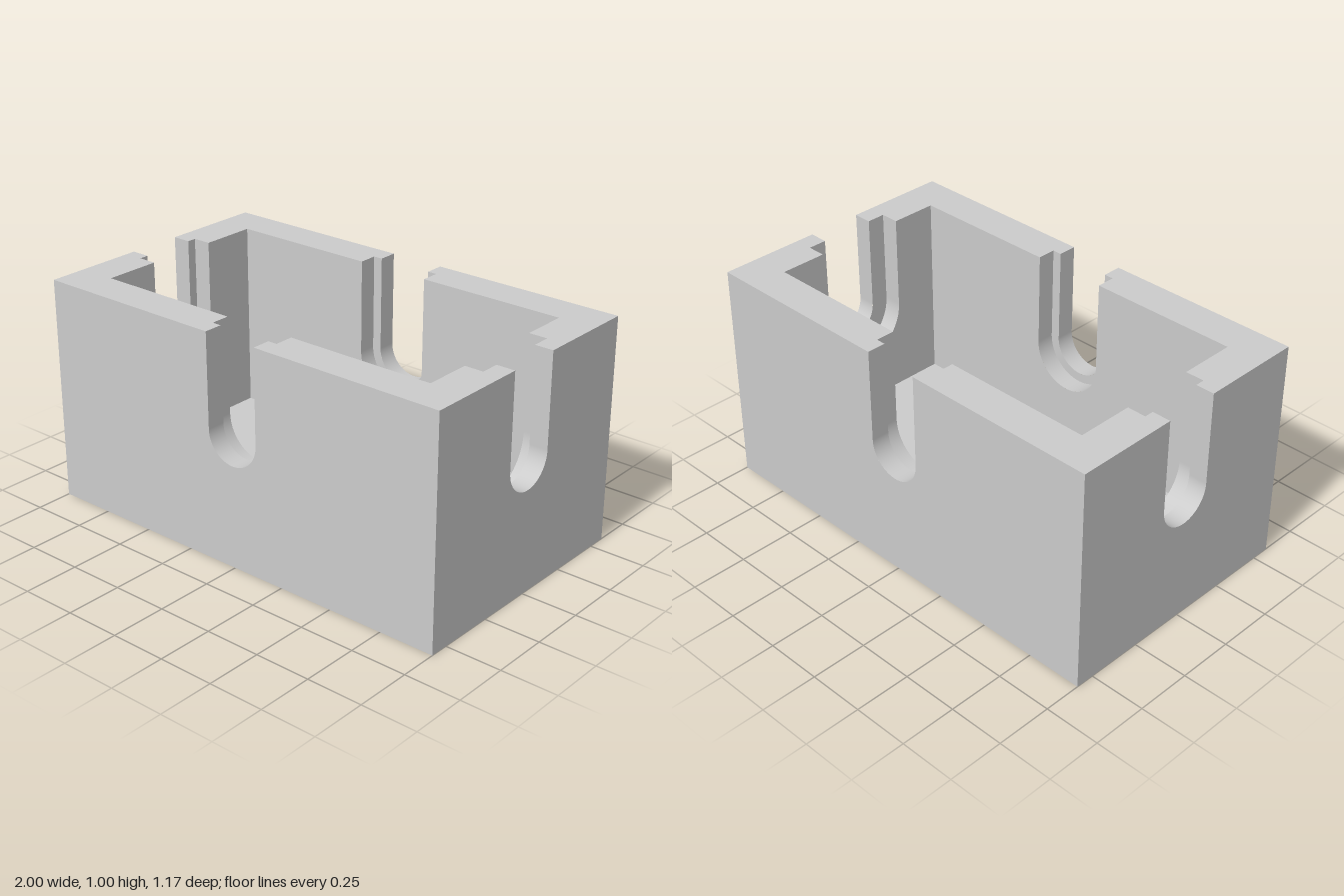
import * as THREE from 'three';
import { mergeGeometries } from 'three/addons/utils/BufferGeometryUtils.js';

const HX = 1, HZ = 7 / 12, H = 1;      // half length, half depth, height
const T = 1 / 6;                       // wall and floor thickness
const CY = 7 / 12;                     // centre height of the slot arcs
const SLOT = 0.125;                    // slot radius in the outer half of each wall
const ARC = 32;

const material = new THREE.MeshStandardMaterial({ color: 0xcccccc });

function mesh(name, geometries) {
  const m = new THREE.Mesh(mergeGeometries(geometries), material);
  m.name = name;
  return m;
}

const flat = (shape) => new THREE.ShapeGeometry(shape, ARC);

// Upright rectangle with a U-shaped slot cut from its top edge
function slottedPanel(halfWidth, bottom, r) {
  const s = new THREE.Shape();
  s.moveTo(-halfWidth, bottom);
  s.lineTo(halfWidth, bottom);
  s.lineTo(halfWidth, H);
  s.lineTo(r, H);
  s.lineTo(r, CY);
  s.absarc(0, CY, r, 0, -Math.PI, true);
  s.lineTo(-r, H);
  s.lineTo(-halfWidth, H);
  return flat(s);
}

// U-shaped ledge between the narrow and the wide slot
function slotLedge(r1, r2) {
  const s = new THREE.Shape();
  s.moveTo(r1, H);
  s.lineTo(r2, H);
  s.lineTo(r2, CY);
  s.absarc(0, CY, r2, 0, -Math.PI, true);
  s.lineTo(-r2, H);
  s.lineTo(-r1, H);
  s.lineTo(-r1, CY);
  s.absarc(0, CY, r1, -Math.PI, 0, false);
  return flat(s);
}

// Curved lining of a slot, from depth zOut to zIn
function slotLining(r, zOut, zIn) {
  const g = new THREE.PlaneGeometry(1, 1, ARC + 2, 1);
  const { position, normal } = g.attributes;
  const cols = ARC + 3;
  for (let i = 0; i < position.count; i++) {
    const c = i % cols;
    const a = -Math.PI * THREE.MathUtils.clamp((c - 1) / ARC, 0, 1);
    const y = c === 0 || c === cols - 1 ? H : CY + r * Math.sin(a);
    position.setXYZ(i, r * Math.cos(a), y, i < cols ? zOut : zIn);
    normal.setXYZ(i, -Math.cos(a), -Math.sin(a), 0);
  }
  return g;
}

// One wall, made facing +z at distance d, then turned into place
function wall(name, halfWidth, d, recess, angle) {
  const m = mesh(name, [
    slottedPanel(halfWidth, 0, SLOT).translate(0, 0, d),
    slotLining(SLOT, d, d - T / 2),
    slotLedge(SLOT, recess).rotateY(Math.PI).translate(0, 0, d - T / 2),
    slotLining(recess, d - T / 2, d - T),
    slottedPanel(halfWidth - T, T, recess).rotateY(Math.PI).translate(0, 0, d - T),
  ]);
  m.rotation.y = angle;
  return m;
}

// L-shaped top face of one corner, between two slots
function rimCorner(sx, sz, recessX, recessZ) {
  const points = [
    [SLOT, HZ], [HX, HZ], [HX, SLOT], [HX - T / 2, SLOT], [HX - T / 2, recessX],
    [HX - T, recessX], [HX - T, HZ - T], [recessZ, HZ - T], [recessZ, HZ - T / 2], [SLOT, HZ - T / 2],
  ].map(([x, z]) => new THREE.Vector2(sx * x, sz * z));
  return flat(new THREE.Shape(points)).rotateX(-Math.PI / 2).translate(0, H, 0);
}

export function createModel() {
  const group = new THREE.Group();
  group.name = 'slottedBox';

  const small = 1 / 6, large = 5 / 24;   // recess radii on the inner side
  group.add(
    wall('frontWall', HX, HZ, small, 0),
    wall('backWall', HX, HZ, small, Math.PI),
    wall('leftWall', HZ, HX, large, Math.PI / 2),
    wall('rightWall', HZ, HX, small, -Math.PI / 2),
  );

  // Top rim
  const corners = [];
  for (const sx of [-1, 1])
    for (const sz of [-1, 1]) corners.push(rimCorner(sx, sz, sx > 0 ? large : small, small));
  group.add(mesh('rim', corners));

  // Cavity floor and underside
  group.add(mesh('floor', [
    new THREE.PlaneGeometry(2 * (HX - T), 2 * (HZ - T)).rotateX(-Math.PI / 2).translate(0, T, 0),
    new THREE.PlaneGeometry(2 * HX, 2 * HZ).rotateX(Math.PI / 2),
  ]));

  return group;
}
